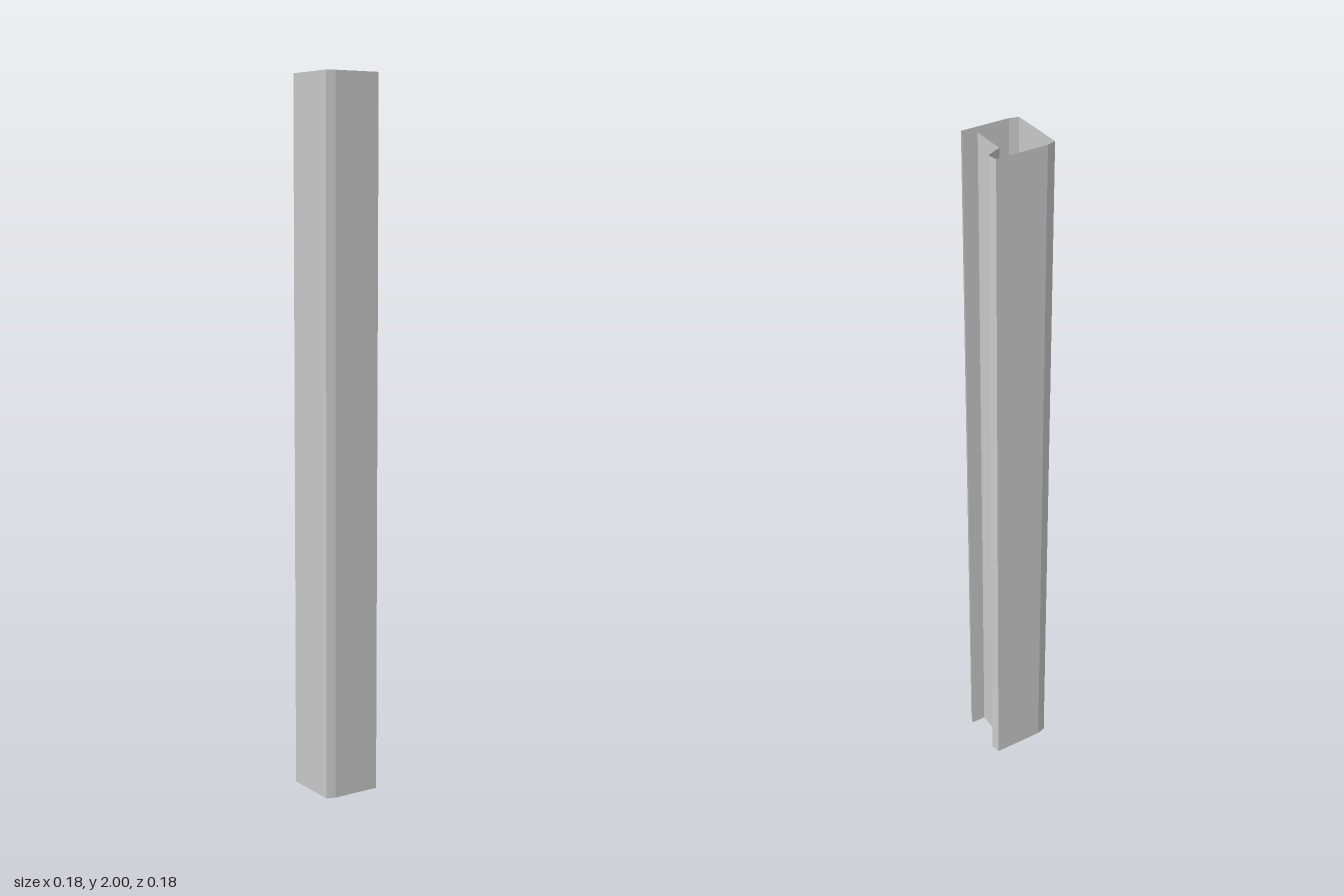
import * as THREE from 'three';

// Cross-section as [x, z], going round from the front-left bend; open-ended thin sheet
const PROFILE = [
  [-0.0885, 0.081], [-0.063, 0.0885],   // front bend
  [0.075, 0.0885], [0.0885, 0.059],     // front wall and sloped lip
  [0.045, 0.059], [0.045, -0.042],      // groove side and groove bottom
  [0.0885, -0.062], [0.083, -0.0885],   // sloped groove side and rear lip
  [-0.063, -0.0885], [-0.0885, -0.081], // rear wall and bend
];
const HEIGHT = 2;

// Sweeps a closed section upward into separate flat panels, without end caps
function sweepSection(points, height) {
  const pos = [];
  points.forEach(([ax, az], i) => {
    const [bx, bz] = points[(i + 1) % points.length];
    pos.push(ax, 0, az, bx, 0, bz, bx, height, bz);
    pos.push(ax, 0, az, bx, height, bz, ax, height, az);
  });
  const geometry = new THREE.BufferGeometry();
  geometry.setAttribute('position', new THREE.Float32BufferAttribute(pos, 3));
  geometry.computeVertexNormals();
  return geometry;
}

export function createModel() {
  const group = new THREE.Group();
  group.name = 'groovedPost';
  const material = new THREE.MeshStandardMaterial({
    color: 0xcccccc, flatShading: true, side: THREE.DoubleSide,
  });
  const shell = new THREE.Mesh(sweepSection(PROFILE, HEIGHT), material);
  shell.name = 'postShell';
  group.add(shell);
  return group;
}
